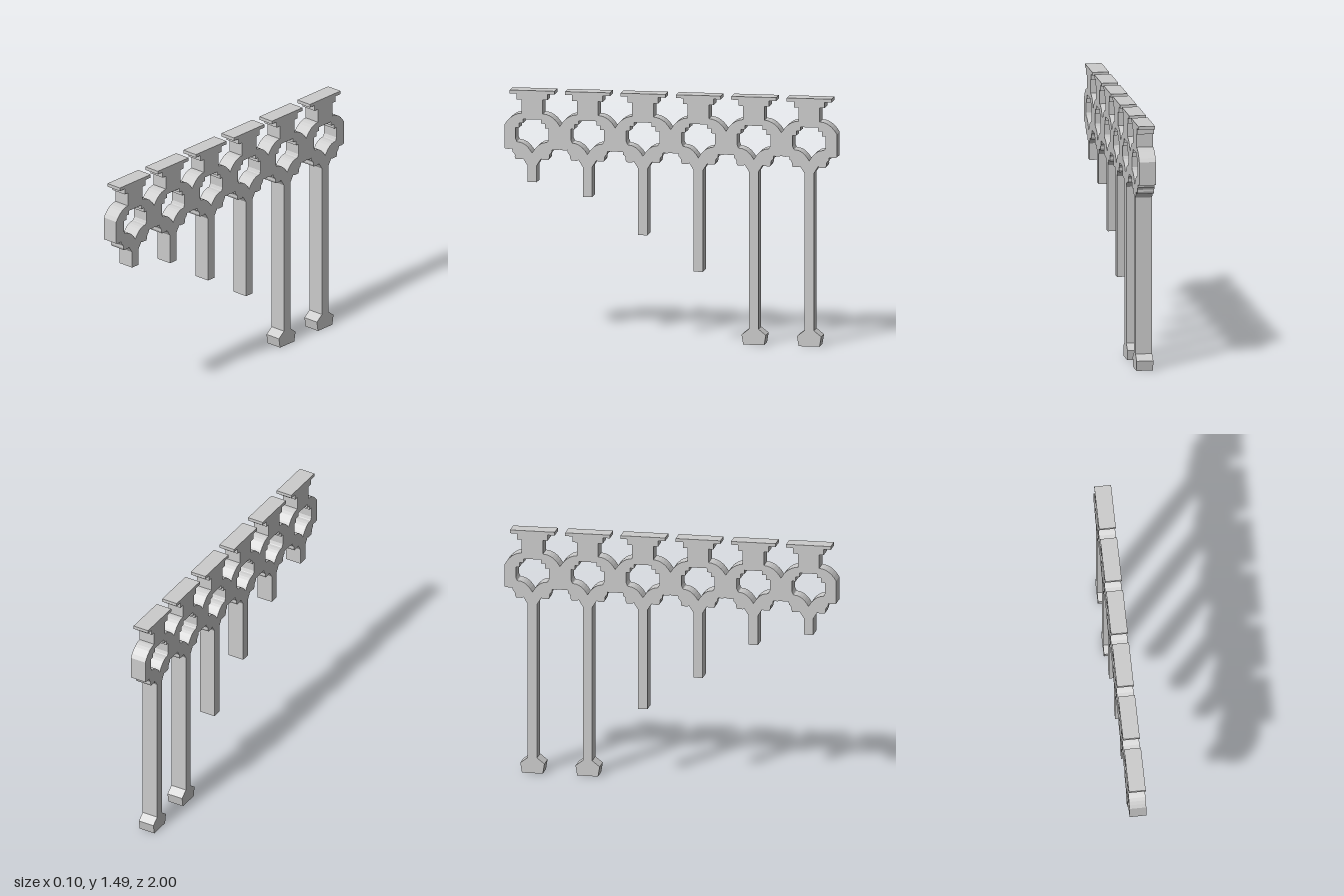
import * as THREE from 'three';

const PITCH = 1 / 3, DEPTH = 0.1;
const V = (u, y) => new THREE.Vector2(u, y);
const mirror = pts => pts.map(p => V(-p.x, p.y)).reverse();
const shift = (pts, z) => pts.map(p => V(p.x + z, p.y));
const curve = (a, b, c, n = 6) =>
  new THREE.QuadraticBezierCurve(V(...a), V(...b), V(...c)).getPoints(n);

// Extrude a clockwise (z, y) outline with counter-clockwise holes into a plate centred on x = 0
function plate(name, outline, holes = []) {
  const shape = new THREE.Shape(outline);
  shape.holes = holes.map(h => new THREE.Path(h));
  const geo = new THREE.ExtrudeGeometry(shape, { depth: DEPTH, bevelEnabled: false });
  geo.rotateY(-Math.PI / 2).translate(DEPTH / 2, 0, 0);
  const mesh = new THREE.Mesh(geo, new THREE.MeshStandardMaterial({ color: 0xcccccc, flatShading: true }));
  mesh.name = name;
  return mesh;
}

export function createModel() {
  const group = new THREE.Group();
  group.name = 'steppedArcade';

  // Half profiles of one bay, each running from its centre line outwards.
  // Top edge: stepped cap, neck, ring shoulder
  const top = [
    V(0.135, 1.49), V(0.135, 1.47), V(0.092, 1.47), V(0.092, 1.435), V(0.064, 1.435),
    ...curve([0.064, 1.352], [0.125, 1.35], [PITCH / 2, 1.28]),
  ];
  // Lower edge: leg head, then the scalloped bracket
  const under = [
    V(0.028, 1.04), V(0.047, 1.07), V(0.055, 1.082), V(0.062, 1.076), V(0.098, 1.076),
    ...curve([0.104, 1.09], [0.1, 1.11], [0.118, 1.12], 3),
    V(0.12, 1.138), V(0.145, 1.136), V(PITCH / 2, 1.14),
  ];
  // Opening: stepped head, rounded sill with a central notch
  const opening = [
    V(0.053, 1.317), V(0.053, 1.293), V(0.077, 1.293), V(0.077, 1.265),
    V(0.1, 1.265), V(0.1, 1.2), V(0.092, 1.183),
    ...curve([0.088, 1.18], [0.038, 1.18], [0, 1.115]),
  ];
  const hole = [...opening, ...mirror(opening).slice(1)].reverse();

  // Continuous band of six bays
  const centres = [0, 1, 2, 3, 4, 5].map(i => (i - 2.5) * PITCH);
  const upper = [], lower = [], holes = [];
  centres.forEach((z, i) => {
    const skip = i ? 1 : 0;
    upper.push(...shift([...mirror(top), ...top], z).slice(skip));
    lower.push(...shift([...mirror(under), ...under], z).slice(skip));
    holes.push(shift(hole, z));
  });
  group.add(plate('arcadeBand', [...upper, ...lower.reverse()], holes));

  // Legs, the two tallest ending in flared feet
  const bottoms = [0, 0, 0.43, 0.64, 0.86, 0.94];
  centres.forEach((z, i) => {
    const half = [V(0.028, 1.04)];
    if (bottoms[i] === 0) half.push(V(0.028, 0.095), V(0.073, 0.06), V(0.063, 0));
    else half.push(V(0.028, bottoms[i]));
    group.add(plate(bottoms[i] === 0 ? 'footedLeg' : 'shortLeg', shift([...half, ...mirror(half)], z)));
  });
  return group;
}
